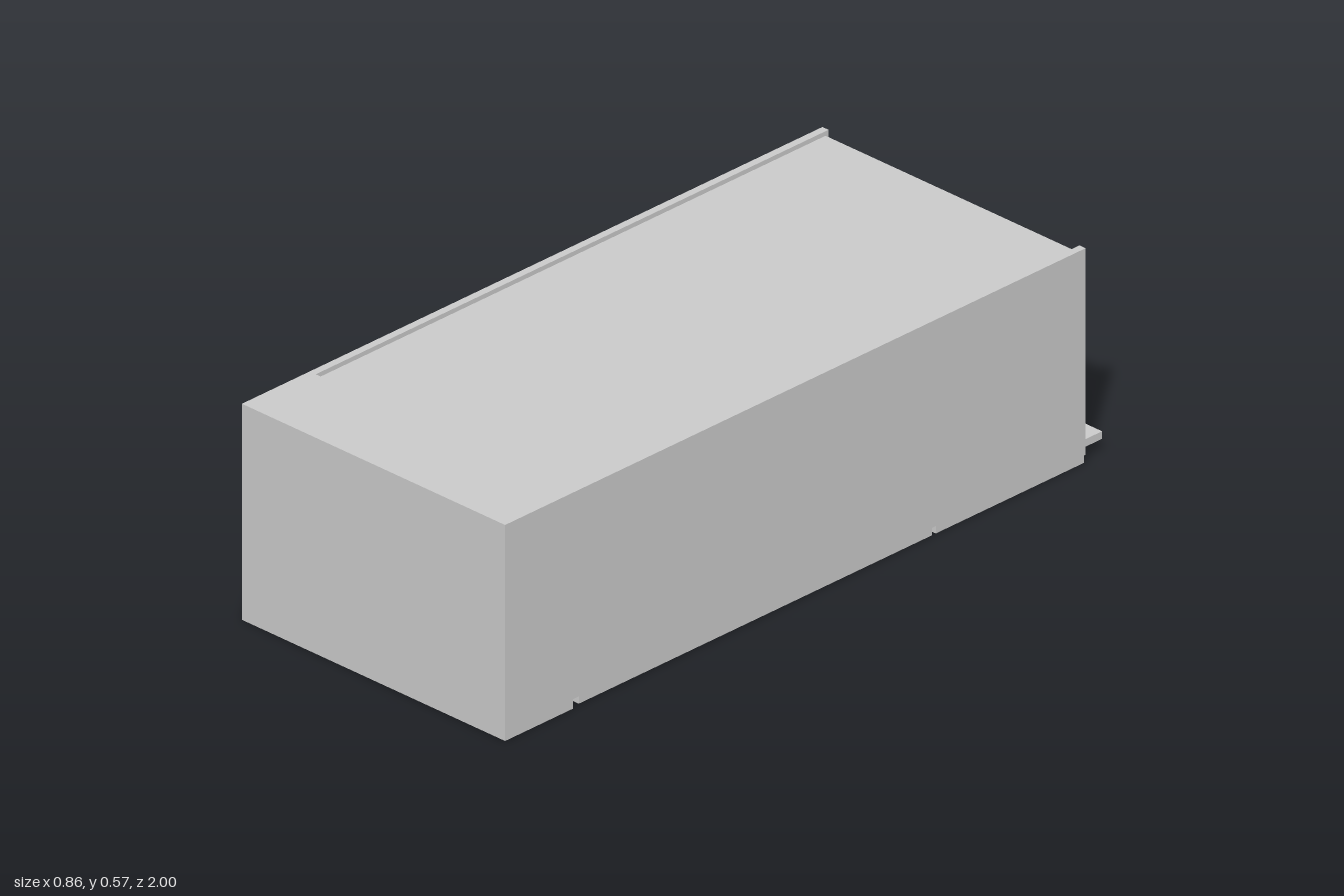
import * as THREE from 'three';

const material = new THREE.MeshStandardMaterial({ color: 0xcccccc, flatShading: true });
const W = 0.43, H = 0.57, BACK = -0.93, SPLIT = 0.775, FRONT = 1;

export function createModel() {
  const root = new THREE.Group();

  const add = (name, geometry) => {
    const mesh = new THREE.Mesh(geometry, material);
    mesh.name = name;
    root.add(mesh);
    return mesh;
  };
  // Box given by its extents on each axis
  const box = (name, [x0, x1], [y0, y1], [z0, z1]) => {
    const mesh = add(name, new THREE.BoxGeometry(x1 - x0, y1 - y0, z1 - z0));
    mesh.position.set((x0 + x1) / 2, (y0 + y1) / 2, (z0 + z1) / 2);
    return mesh;
  };
  const shapeOf = (points) => new THREE.Shape(points.map(([x, y]) => new THREE.Vector2(x, y)));

  // Main casing: a channel with low side rims around the lid recess
  const rim = 0.41, ledge = 0.52;
  const casing = shapeOf([
    [-W, 0.025], [W, 0.025], [W, H], [rim, H], [rim, ledge], [-rim, ledge], [-rim, H], [-W, H],
  ]);
  add('casing', new THREE.ExtrudeGeometry(casing, { depth: SPLIT - BACK, bevelEnabled: false }))
    .position.z = BACK;

  // Recessed lid, set in slightly from the back
  box('lid', [-rim, rim], [ledge, 0.558], [-0.92, SPLIT]);

  // Front block with a ribbed underside
  const grooves = 7, pitch = (FRONT - SPLIT) / grooves, depth = 0.012;
  const profile = [[SPLIT, H], [SPLIT, 0]];
  for (let i = 0; i < grooves; i++) {
    const z = SPLIT + i * pitch;
    profile.push([z + pitch * 0.3, 0], [z + pitch * 0.3, depth],
      [z + pitch * 0.75, depth], [z + pitch * 0.75, 0]);
  }
  profile.push([FRONT, 0], [FRONT, H]);
  const cap = 0.004;
  const block = new THREE.ExtrudeGeometry(shapeOf(profile), { depth: 2 * (W - cap), bevelEnabled: false });
  block.rotateY(-Math.PI / 2).translate(W - cap, 0, 0);
  add('frontBlock', block);
  for (const side of [-1, 1]) {
    const edges = [side * W, side * (W - cap)].sort((a, b) => a - b);
    box('frontBlockEnd', edges, [0, H], [SPLIT, FRONT]);
  }

  // Thin panels under the casing: a split pair in front and one behind
  const panelY = [0.002, 0.022], edge = 0.425, gap = 0.004;
  box('underPanelRight', [-edge, -gap], panelY, [-0.425, 0.75]);
  box('underPanelLeft', [gap, edge], panelY, [-0.425, 0.75]);
  box('underPanelBack', [-edge, edge], panelY, [BACK, -0.437]);
  // Narrow core that carries the panels
  box('panelMount', [-0.4, 0.4], [0.02, 0.027], [BACK + 0.01, 0.74]);

  // Ledge projecting from the back
  box('backLedge', [-0.415, 0.415], [0.035, 0.055], [-1, BACK]);

  return root;
}
